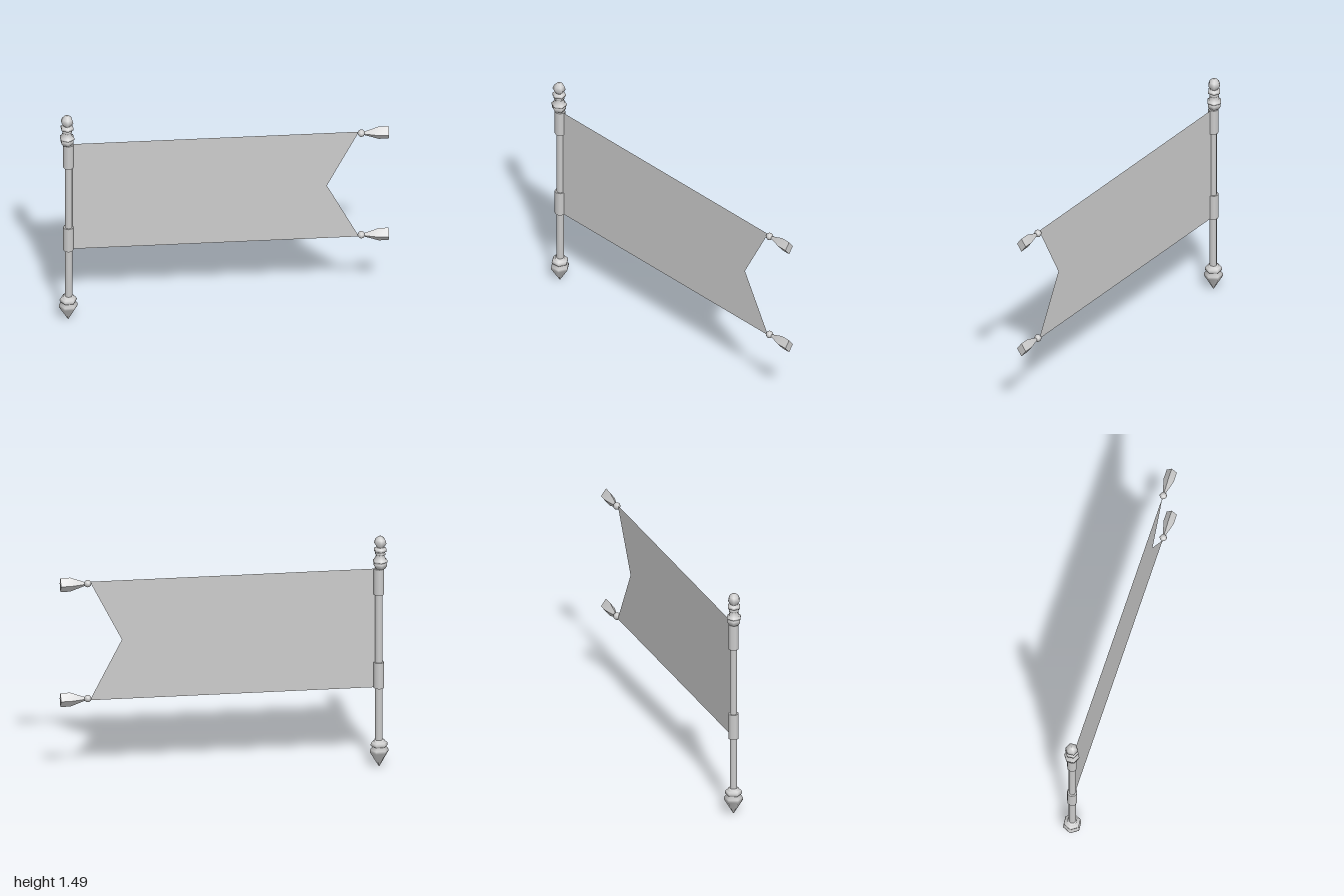
import * as THREE from 'three';
import { toCreasedNormals } from 'three/addons/utils/BufferGeometryUtils.js';

const POLE_X = -0.942;
const grey = new THREE.MeshStandardMaterial({ color: 0xcccccc });
const greyDouble = new THREE.MeshStandardMaterial({ color: 0xcccccc, side: THREE.DoubleSide });

// Turned low-poly part: profile is [radius, height] from bottom to top
function turned(profile, sides, turn) {
  const points = profile.map(([r, y]) => new THREE.Vector2(r, y));
  return new THREE.LatheGeometry(points, sides, THREE.MathUtils.degToRad(turn));
}

export function createModel() {
  const model = new THREE.Group();
  model.name = 'bannerOnPole';
  const add = (name, geometry, x, y, material = grey, parent = model) => {
    const mesh = new THREE.Mesh(geometry, material);
    mesh.name = name;
    mesh.position.set(x, y, 0);
    parent.add(mesh);
    return mesh;
  };

  // Pole shaft
  const shaft = new THREE.CylinderGeometry(0.0225, 0.0225, 1.14, 8);
  add('pole', shaft, -0.94, 0.73);

  // Sleeves that hold the cloth to the pole
  for (const [name, y] of [['upperSleeve', 1.195], ['lowerSleeve', 0.592]]) {
    add(name, new THREE.CylinderGeometry(0.032, 0.032, 0.166, 8), -0.941, y);
  }

  // Pointed foot with its rings
  add('footSpike', turned([
    [0, 0], [0.057, 0.095], [0.057, 0.112], [0.043, 0.13],
    [0.051, 0.136], [0.053, 0.147], [0.047, 0.159], [0.033, 0.161],
    [0.033, 0.174], [0, 0.174],
  ], 6, 35), POLE_X, 0);

  // Turned finial on top
  add('finial', turned([
    [0, 1.272], [0.03, 1.278], [0.043, 1.298], [0.043, 1.312], [0.037, 1.317],
    [0.047, 1.322], [0.047, 1.332], [0.037, 1.337], [0.026, 1.366],
    [0.033, 1.37], [0.033, 1.38], [0.028, 1.384],
    [0.041, 1.391], [0.041, 1.406], [0.026, 1.414],
    [0.023, 1.418], [0.04, 1.442], [0.032, 1.466], [0.015, 1.484], [0, 1.486],
  ], 6, 5), -0.949, 0);

  // Swallow-tailed cloth
  const outline = new THREE.Shape([
    [POLE_X + 0.02, 0.513], [0.82, 0.513], [0.625, 0.895], [0.82, 1.278], [POLE_X + 0.02, 1.278],
  ].map(([x, y]) => new THREE.Vector2(x, y)));
  add('cloth', new THREE.ShapeGeometry(outline), 0, 0, greyDouble);

  // Tassels on the two tips: a bead and a flared four-sided tuft
  const tuft = toCreasedNormals(turned([
    [0.012, 0.0], [0.019, 0.02], [0.045, 0.09], [0.045, 0.15], [0, 0.15],
  ], 4, 0), 0.6);
  tuft.rotateZ(-Math.PI / 2);
  tuft.scale(1, 1, 0.72);
  for (const [name, y] of [['upperTassel', 1.265], ['lowerTassel', 0.523]]) {
    const tassel = new THREE.Group();
    tassel.name = name;
    tassel.position.set(0.85, y, 0);
    add('bead', new THREE.SphereGeometry(0.023, 8, 6), -0.016, 0.002, grey, tassel);
    add('tuft', tuft, 0, 0, grey, tassel);
    model.add(tassel);
  }
  return model;
}
